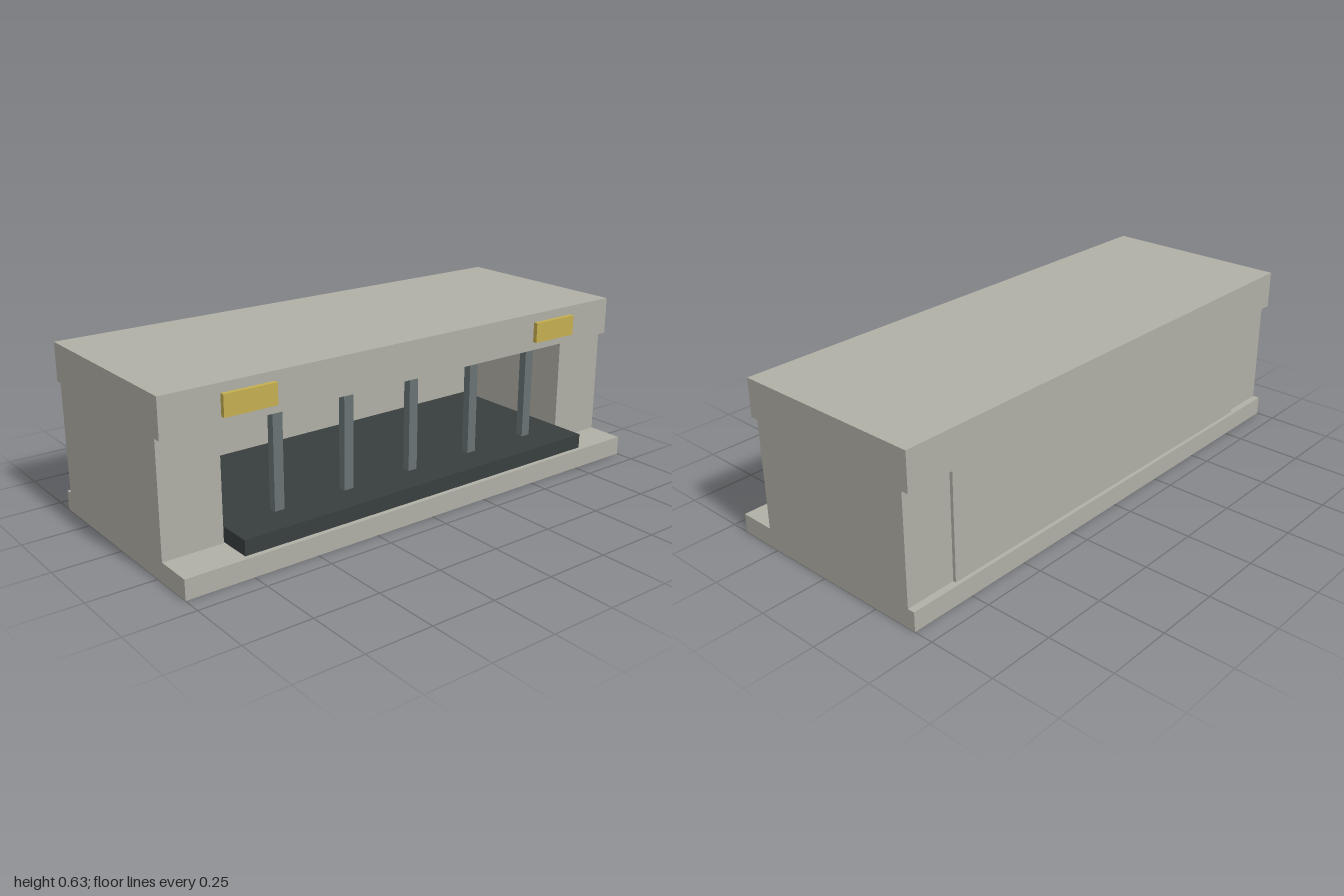
import * as THREE from 'three';

const material = (color) => new THREE.MeshStandardMaterial({ color });

export function createModel() {
  const model = new THREE.Group();
  const concrete = material(0xb0afa5);
  const darkFloor = material(0x383e3e);
  const steel = material(0x687274);
  const gold = material(0xc4ae50);

  // Box given by its lower and upper limits on each axis
  const block = (name, mat, [x0, x1], [y0, y1], [z0, z1]) => {
    const mesh = new THREE.Mesh(new THREE.BoxGeometry(x1 - x0, y1 - y0, z1 - z0), mat);
    mesh.position.set((x0 + x1) / 2, (y0 + y1) / 2, (z0 + z1) / 2);
    mesh.name = name;
    model.add(mesh);
  };

  const baseTop = 0.073, roofBottom = 0.487;

  // Base plate and roof, which overhangs the walls
  block('base', concrete, [-1, 1], [0, baseTop], [-0.427, 0.427]);
  block('roof', concrete, [-1, 1], [roofBottom, 0.63], [-0.427, 0.315]);

  // Back wall, standing slightly proud of the side walls
  block('backWall', concrete, [-0.805, 0.805], [baseTop, roofBottom], [-0.412, -0.253]);

  // Floor slab running out of the front opening
  block('floorSlab', darkFloor, [-0.775, 0.775], [0.077, 0.133], [-0.253, 0.415]);

  // Side walls and the plaques on the roof edge
  for (const [side, s] of [['left', 1], ['right', -1]]) {
    const span = (a, b) => (s > 0 ? [a, b] : [-b, -a]);
    block(`${side}Wall`, concrete, span(0.775, 1), [baseTop, roofBottom], [-0.4, 0.285]);
    block(`${side}Plaque`, gold, span(0.585, 0.785), [0.521, 0.598], [0.32, 0.337]);
  }

  // Row of posts across the opening
  for (let i = -2; i <= 2; i++) {
    const x = i * 0.287 - 0.002;
    block(`post${i + 3}`, steel, [x - 0.019, x + 0.019], [0.145, roofBottom], [0.286, 0.316]);
  }

  return model;
}
